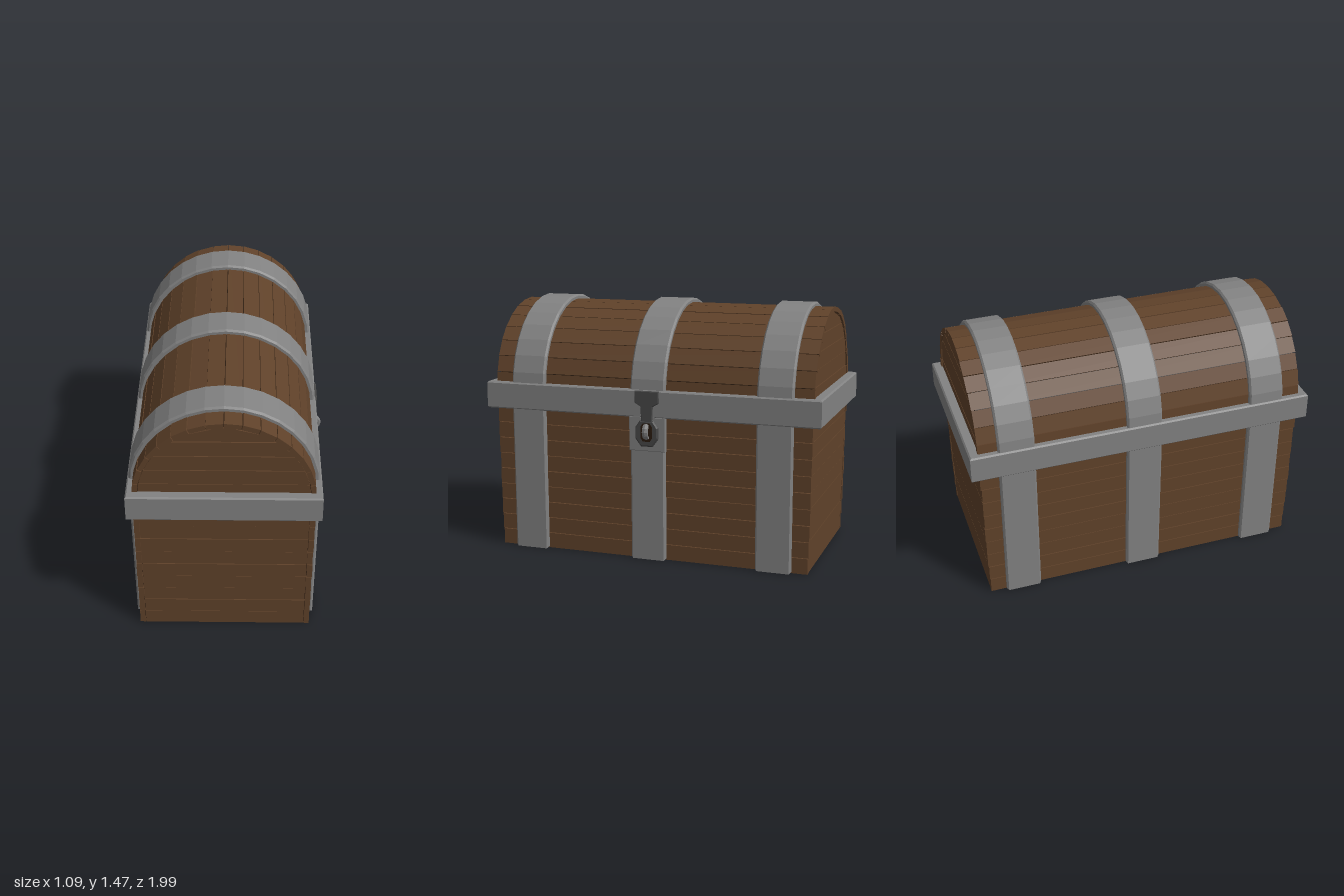
import * as THREE from 'three';

const CX = -0.02;      // chest centre, offset so the lock ring fits the overall width
const LID_Y = 0.95;    // centre height of the lid's arc
const R = 0.49;        // lid wood radius
const SEGS = 16;       // lid staves

const mat = (color) => new THREE.MeshStandardMaterial({ color, flatShading: true });
const wood = mat(0x60422a);
const seam = mat(0x2a1b0f);
const iron = mat(0x828282);
const darkIron = mat(0x484848);

// Small seeded jitter for uneven planks
let seed = 7;
const jitter = (a) => {
  seed = (seed * 16807) % 2147483647;
  return (seed / 2147483647 - 0.5) * 2 * a;
};

function add(parent, name, geometry, material, x = 0, y = 0, z = 0) {
  const mesh = new THREE.Mesh(geometry, material);
  mesh.name = name;
  mesh.position.set(x, y, z);
  parent.add(mesh);
  return mesh;
}

const box = (w, h, d) => new THREE.BoxGeometry(w, h, d);
const polygon = (pts) => new THREE.Shape(pts.map(([x, y]) => new THREE.Vector2(x, y)));

// Extrusion centred on its depth, with chamfered edges that stay inside the outline
function slab(shape, depth, bevel) {
  const g = new THREE.ExtrudeGeometry(shape, {
    depth: depth - 2 * bevel, bevelEnabled: bevel > 0, bevelThickness: bevel,
    bevelSize: bevel, bevelOffset: -bevel, bevelSegments: 1, curveSegments: 12,
  });
  return g.translate(0, 0, bevel - depth / 2);
}

// Points on the lid arc from angle a0 to a1
function arc(r, a0, a1, n) {
  return Array.from({ length: n + 1 }, (_, i) => {
    const a = a0 + ((a1 - a0) * i) / n;
    return [r * Math.cos(a), LID_Y + r * Math.sin(a)];
  });
}

function buildBody() {
  const body = new THREE.Group();
  body.name = 'body';
  add(body, 'bodyCore', box(0.94, 0.94, 1.84), seam, 0, 0.474, 0);
  add(body, 'bottomBoard', box(0.95, 0.02, 1.84), wood, 0, 0.01, 0);
  const rows = 10, h = 0.0935, gap = 0.004;
  for (let i = 0; i < rows; i++) {
    const y = (i + 0.5) * h, t = y / 0.935;
    const hx = 0.483 + 0.006 * t, hz = 0.93 + 0.015 * t;
    for (const s of [-1, 1]) {
      add(body, 'sidePlank', box(0.03, h - gap, 2 * (hz + jitter(0.003))), wood,
        s * (hx - 0.015 + jitter(0.0015)), y, 0);
      add(body, 'endPlank', box(2 * hx - 0.064, h - gap, 0.03), wood,
        0, y, s * (hz - 0.018 + jitter(0.002)));
    }
  }
  return body;
}

function buildLid() {
  const lid = new THREE.Group();
  lid.name = 'lid';
  add(lid, 'lidCore', slab(polygon(arc(R - 0.012, 0, Math.PI, SEGS)), 1.85, 0), seam);
  // Curved staves along the top
  const step = Math.PI / SEGS, slit = 0.004;
  for (let i = 0; i < SEGS; i++) {
    const a = i * step + slit, b = (i + 1) * step - slit;
    const r = R + jitter(0.0015);
    const shape = polygon([...arc(r, a, b, 1), ...arc(R - 0.028, b, a, 1)]);
    add(lid, 'lidStave', slab(shape, 1.895 + jitter(0.006), 0), wood);
  }
  // Horizontal boards closing the two arched ends
  const rows = 5, h = 0.0925, r = R - 0.032;
  for (let i = 0; i < rows; i++) {
    const y0 = i * h + 0.002, y1 = Math.min((i + 1) * h - 0.002, r - 0.001);
    const edge = [0, 0.5, 1].map((t) => {
      const y = y0 + (y1 - y0) * t;
      return [Math.sqrt(r * r - y * y), LID_Y + y];
    });
    const shape = polygon([...edge, ...edge.map(([x, y]) => [-x, y]).reverse()]);
    for (const s of [-1, 1]) {
      add(lid, 'lidEndBoard', slab(shape, 0.03, 0), wood, 0, 0, s * (0.924 + jitter(0.002)));
    }
  }
  return lid;
}

// Iron strap running up one side, over the lid and down the other
function strapShape() {
  return polygon([
    [0.508, 0], ...arc(0.516, 0, Math.PI, SEGS), [-0.508, 0],
    [-0.474, 0], ...arc(0.478, Math.PI, 0, SEGS), [0.474, 0],
  ]);
}

// Rectangular iron band around the chest where lid meets body
function bandGeometry() {
  const rect = (x, z) => [[-x, -z], [x, -z], [x, z], [-x, z]];
  const shape = polygon(rect(0.521, 0.995));
  shape.holes.push(new THREE.Path(rect(0.475, 0.935).reverse().map(([x, y]) => new THREE.Vector2(x, y))));
  return slab(shape, 0.157, 0.008).rotateX(-Math.PI / 2);
}

function buildLock() {
  const lock = new THREE.Group();
  lock.name = 'lock';
  // Shapes are drawn as (across, up) and turned to face +x
  const plate = (name, pts, depth, bevel, material, x) =>
    add(lock, name, slab(polygon(pts), depth, bevel).rotateY(Math.PI / 2), material, x, 0, 0);
  plate('lockPlate', [[-0.108, 0.642], [0.108, 0.642], [0.108, 0.84], [-0.108, 0.84]],
    0.03, 0.004, iron, 0.484);
  plate('hasp', [
    [-0.03, 0.79], [0.03, 0.79], [0.037, 0.9], [0.072, 0.92], [0.072, 0.988],
    [-0.072, 0.988], [-0.072, 0.92], [-0.037, 0.9],
  ], 0.03, 0.004, darkIron, 0.494);
  plate('haspEnd', [
    [-0.035, 0.67], [0.035, 0.67], [0.068, 0.715], [0.068, 0.78], [0.04, 0.82],
    [-0.04, 0.82], [-0.068, 0.78], [-0.068, 0.715],
  ], 0.026, 0.008, darkIron, 0.498);
  plate('haspSlot', [
    [-0.02, 0.7], [0.02, 0.7], [0.034, 0.72], [0.034, 0.785], [0.02, 0.805],
    [-0.02, 0.805], [-0.034, 0.785], [-0.034, 0.72],
  ], 0.004, 0, seam, 0.511);
  // Staple ring passing through the hasp
  const ring = add(lock, 'stapleRing', new THREE.TorusGeometry(0.041, 0.011, 6, 14), iron, 0.493, 0.757, 0);
  ring.scale.z = 1.7;
  return lock;
}

export function createModel() {
  const model = new THREE.Group();
  model.name = 'chest';
  const chest = new THREE.Group();
  chest.name = 'chestBox';
  chest.position.x = CX;
  chest.add(buildBody(), buildLid());

  const strap = slab(strapShape(), 0.206, 0.01);
  for (const z of [-0.735, 0, 0.735]) add(chest, 'strap', strap, iron, 0, 0, z);
  add(chest, 'rimBand', bandGeometry(), iron, 0, 0.913, 0);

  model.add(chest, buildLock());
  return model;
}
